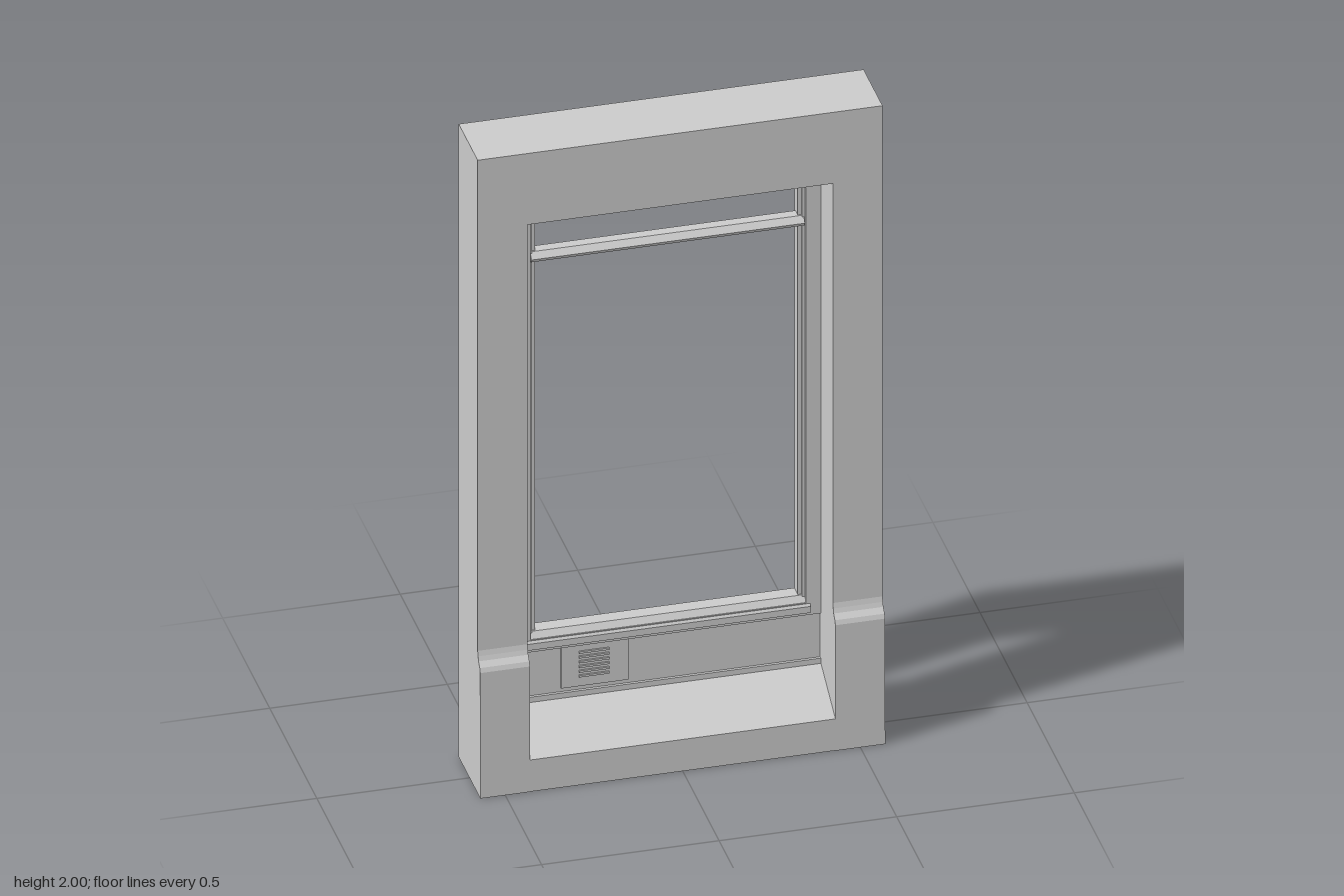
import * as THREE from 'three';

const material = new THREE.MeshStandardMaterial({ color: 0xcccccc, side: THREE.DoubleSide });

export function createModel() {
  const model = new THREE.Group();

  const add = (name, geometry, parent = model) => {
    const mesh = new THREE.Mesh(geometry, material);
    mesh.name = name;
    parent.add(mesh);
    return mesh;
  };

  // Rectangular ring in the xy plane: half widths and y ranges of the outside and the hole
  const ring = (name, outer, inner, z0, z1, parent) => {
    const trace = (path, [w, y0, y1]) => {
      path.moveTo(-w, y0);
      path.lineTo(w, y0);
      path.lineTo(w, y1);
      path.lineTo(-w, y1);
      path.closePath();
      return path;
    };
    const shape = trace(new THREE.Shape(), outer);
    shape.holes.push(trace(new THREE.Path(), inner));
    const geometry = new THREE.ExtrudeGeometry(shape, { depth: z1 - z0, bevelEnabled: false });
    geometry.translate(0, 0, z0);
    return add(name, geometry, parent);
  };

  // Profile of [z, y] points swept along x
  const bar = (name, points, x0, x1, parent) => {
    const shape = new THREE.Shape(points.map(([z, y]) => new THREE.Vector2(-z, y)));
    const geometry = new THREE.ExtrudeGeometry(shape, { depth: x1 - x0, bevelEnabled: false });
    geometry.rotateY(Math.PI / 2);
    // the turn maps profile x to -z and the sweep to +x
    geometry.translate(x0, 0, 0);
    return add(name, geometry, parent);
  };

  const box = (name, x0, x1, y0, y1, z0, z1, parent) => {
    const geometry = new THREE.BoxGeometry(x1 - x0, y1 - y0, z1 - z0);
    geometry.translate((x0 + x1) / 2, (y0 + y1) / 2, (z0 + z1) / 2);
    return add(name, geometry, parent);
  };

  // Wall: front slab with the opening, and the deeper rim behind it
  ring('facade', [0.57, 0, 2], [0.43, 0.1, 1.775], -0.02, 0.086);
  ring('backRim', [0.57, 0, 2], [0.49, 0.085, 1.915], -0.115, -0.02);
  ring('revealLining', [0.437, 0.1, 1.782], [0.43, 0.11, 1.775], -0.06, -0.02);

  // Thicker plinth course on both piers, joined below the opening
  const plinth = [[0.086, 0], [0.115, 0], [0.113, 0.395], [0.108, 0.408], [0.095, 0.422], [0.09, 0.435], [0.086, 0.45]];
  bar('leftPlinth', plinth, 0.43, 0.57);
  bar('rightPlinth', plinth, -0.57, -0.43);
  box('plinthBase', -0.43, 0.43, 0, 0.098, 0.086, 0.114);

  // Sloping sill from the front of the plinth up to the window
  bar('sill', [[0.114, 0.09], [0.114, 0.1], [-0.035, 0.185], [-0.06, 0.19], [-0.06, 0.13], [-0.02, 0.09]], -0.43, 0.43);

  // Window
  const frame = new THREE.Group();
  frame.name = 'window';
  model.add(frame);
  ring('outerFrame', [0.43, 0.355, 1.775], [0.388, 0.385, 1.738], -0.065, -0.04, frame);
  ring('frameLip', [0.41, 0.365, 1.757], [0.38, 0.392, 1.73], -0.08, -0.052, frame);
  ring('sash', [0.395, 0.37, 1.76], [0.37, 0.403, 1.72], -0.097, -0.06, frame);

  // Rail between the upper and lower lights
  bar('transom', [[-0.045, 1.575], [-0.04, 1.585], [-0.055, 1.602], [-0.085, 1.602], [-0.105, 1.585], [-0.1, 1.568], [-0.06, 1.568]], -0.385, 0.385, frame);

  // Bottom rail with sloping nosings on both faces
  bar('bottomRail', [[-0.035, 0.355], [-0.035, 0.375], [-0.055, 0.403], [-0.085, 0.403], [-0.108, 0.385], [-0.1, 0.355]], -0.4, 0.4, frame);

  // Sloping head moulding behind the wall slab
  bar('headMoulding', [[-0.02, 1.825], [-0.045, 1.8], [-0.07, 1.785], [-0.075, 1.76], [-0.095, 1.755], [-0.095, 1.725], [-0.06, 1.725], [-0.02, 1.78]], -0.41, 0.41, frame);

  // Panel beneath the window
  const apron = new THREE.Group();
  apron.name = 'apron';
  model.add(apron);
  box('apronPanel', -0.43, 0.43, 0.17, 0.36, -0.08, -0.05, apron);
  box('apronTopStrip', -0.43, 0.43, 0.345, 0.357, -0.09, -0.042, apron);
  box('apronBottomStrip', -0.43, 0.43, 0.185, 0.203, -0.086, -0.042, apron);
  box('ventPlate', -0.3, -0.11, 0.215, 0.345, -0.084, -0.046, apron);

  // Vent slats
  for (let i = 0; i < 6; i++) {
    const y = 0.245 + i * 0.015;
    box('ventSlat', -0.25, -0.165, y, y + 0.006, -0.089, -0.041, apron);
  }

  return model;
}
